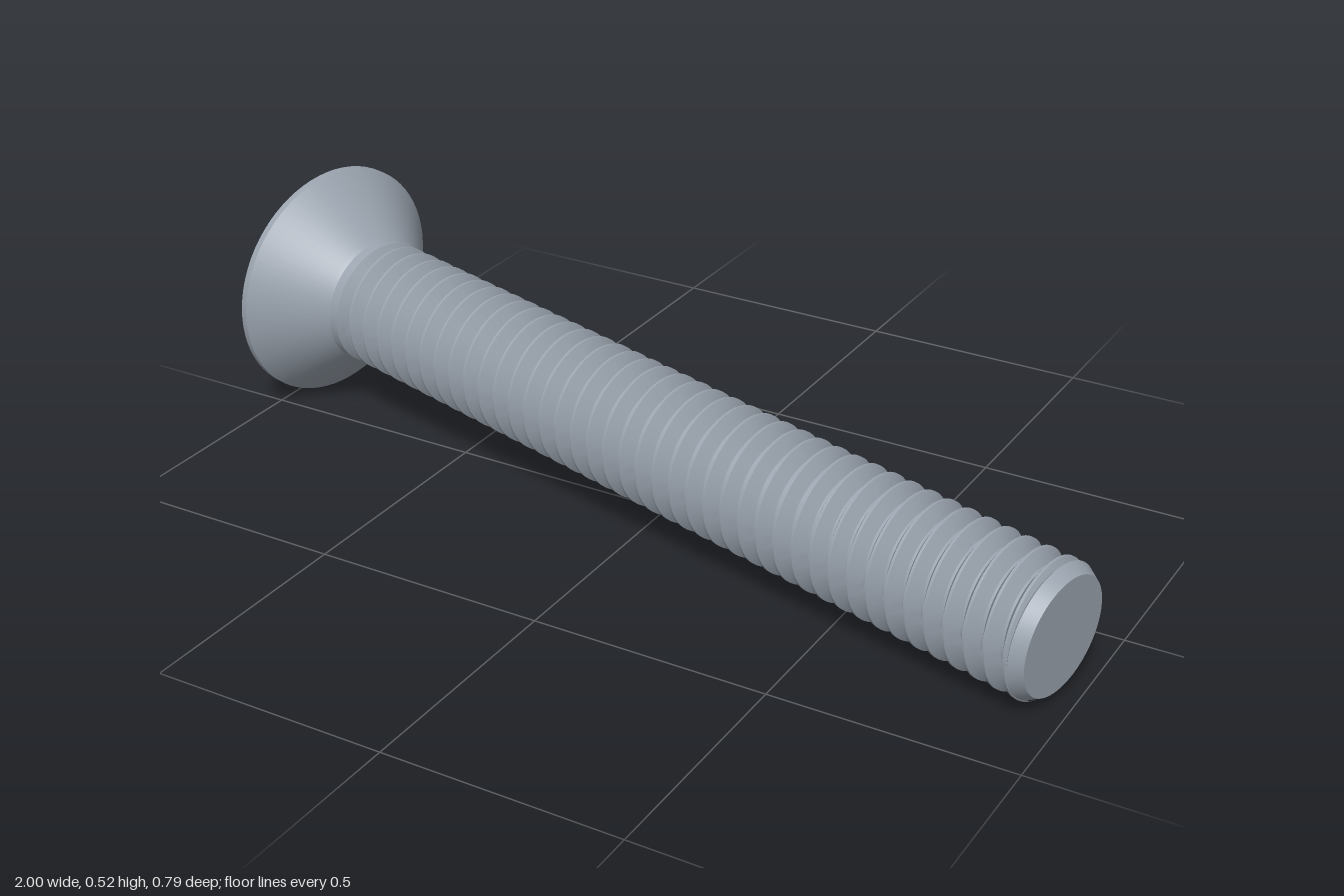
import * as THREE from 'three';
import { toCreasedNormals } from 'three/addons/utils/BufferGeometryUtils.js';

const SEG = 72;
const HEAD_R = 0.26, THREAD_R = 0.138, ROOT_R = 0.11, PITCH = 0.044;
const THREAD_START = 0.18, THREAD_END = 1.94, LENGTH = 1.961;

const lathe = (pts) => toCreasedNormals(
  new THREE.LatheGeometry(pts.map(([r, y]) => new THREE.Vector2(r, y)), SEG), 0.4);

function buildGeometry(positions, index) {
  const g = new THREE.BufferGeometry();
  g.setAttribute('position', new THREE.Float32BufferAttribute(positions, 3));
  g.setIndex(index);
  return g;
}

// Flat shape lying across the axis, facing -y
function plate(shape, y) {
  const g = new THREE.ShapeGeometry(shape, SEG);
  g.rotateX(Math.PI / 2);
  g.translate(0, y, 0);
  return g;
}

// Cross outline with a narrow diagonal notch in each inner corner
function crossOutline(reach, half, notch) {
  const pts = [], t = 0.008;
  for (let q = 0; q < 4; q++) {
    const quarter = [[reach, -half], [reach, half], [half + t, half],
      [notch, notch], [half, half + t]];
    for (const [x, y] of quarter) {
      pts.push(new THREE.Vector2(x, y).rotateAround(new THREE.Vector2(), q * Math.PI / 2));
    }
  }
  return pts;
}

// Tapered walls between two matching outlines, facing inward
function recessWalls(top, bottom, depth) {
  const pos = [], idx = [], n = top.length;
  for (let i = 0; i < n; i++) {
    const j = (i + 1) % n, o = i * 4;
    pos.push(top[i].x, 0, top[i].y, top[j].x, 0, top[j].y,
      bottom[j].x, depth, bottom[j].y, bottom[i].x, depth, bottom[i].y);
    idx.push(o, o + 1, o + 2, o, o + 2, o + 3);
  }
  const g = buildGeometry(pos, idx);
  g.computeVertexNormals();
  return g;
}

// Right-handed helical thread, its rows following the helix and clamped at both ends
function threadGeometry() {
  const knots = [0.06, 0.44, 0.56, 0.94], pos = [], idx = [];
  const turns = Math.ceil((THREAD_END - THREAD_START) / PITCH) + 2;
  const rows = turns * knots.length;
  const radiusAt = (f) => {
    const g = Math.abs(2 * (f - Math.floor(f)) - 1);
    return THREE.MathUtils.lerp(ROOT_R, THREAD_R, THREE.MathUtils.clamp((g - 0.12) / 0.76, 0, 1));
  };
  for (let k = 0; k < rows; k++) {
    const base = Math.floor(k / 4) + knots[k % 4];
    for (let j = 0; j <= SEG; j++) {
      const a = j / SEG * Math.PI * 2;
      const s = THREE.MathUtils.clamp(THREAD_START + PITCH * (base - j / SEG), THREAD_START, THREAD_END);
      const r = radiusAt((s - THREAD_START) / PITCH + j / SEG);
      pos.push(r * Math.cos(a), s, r * Math.sin(a));
      if (k < rows - 1 && j < SEG) {
        const p = k * (SEG + 1) + j, up = p + SEG + 1;
        idx.push(p, up, p + 1, up, up + 1, p + 1);
      }
    }
  }
  return toCreasedNormals(buildGeometry(pos, idx), 0.5);
}

export function createModel() {
  const steel = new THREE.MeshStandardMaterial({ color: 0x9aa3ae });
  steel.name = 'steel grey';

  const screw = new THREE.Group();
  screw.name = 'countersunkScrew';
  const add = (name, geometry) => {
    const mesh = new THREE.Mesh(geometry, steel);
    mesh.name = name;
    screw.add(mesh);
  };

  // Countersunk head with a thin rim and a short neck
  add('head', lathe([[HEAD_R, 0], [HEAD_R, 0.014], [0.146, 0.138], [0.139, 0.148],
    [0.138, 0.17], [ROOT_R, 0.188]]));

  // Head face with the cross recess cut into it
  const top = crossOutline(0.125, 0.03, 0.075);
  const bottom = crossOutline(0.07, 0.024, 0.036);
  const depth = 0.12;
  const face = new THREE.Shape().absarc(0, 0, HEAD_R, 0, Math.PI * 2);
  face.holes.push(new THREE.Path(top));
  add('headFace', plate(face, 0));
  add('recessWalls', recessWalls(top, bottom, depth));
  add('recessFloor', plate(new THREE.Shape(bottom), depth));

  // Threaded shank and chamfered tip
  add('thread', threadGeometry());
  add('tip', lathe([[ROOT_R, 1.915], [0.137, 1.935], [0.121, LENGTH], [0, LENGTH]]));

  // Lay the screw along its axis, head to tip
  const axis = new THREE.Vector3(1.915, -0.1165, 0.406).normalize();
  screw.quaternion.setFromUnitVectors(new THREE.Vector3(0, 1, 0), axis);
  screw.position.set(-0.943, 0.2595, -0.142);

  const model = new THREE.Group();
  model.name = 'screwModel';
  model.add(screw);
  return model;
}
